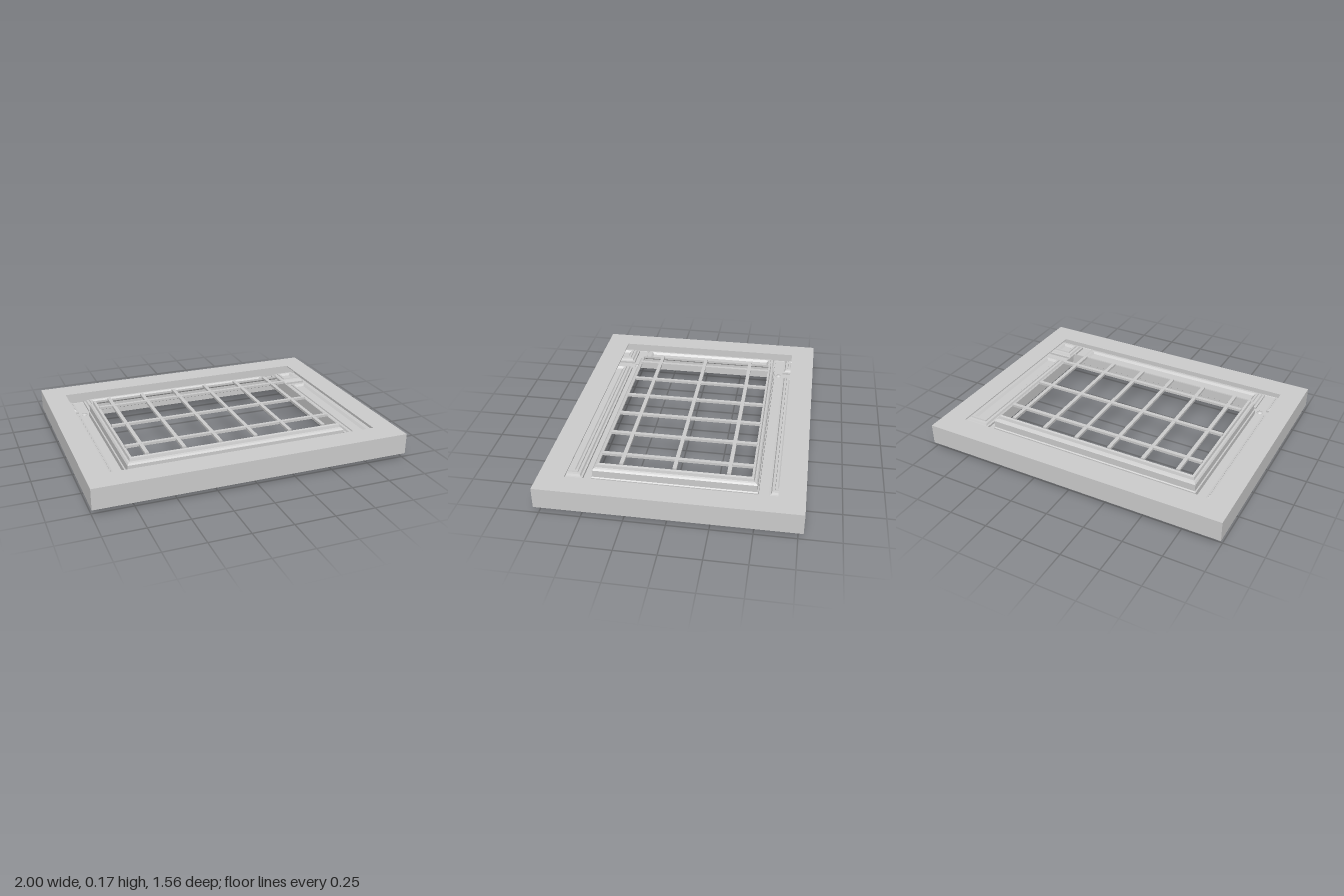
import * as THREE from 'three';

const material = new THREE.MeshStandardMaterial({ color: 0xcccccc, side: THREE.DoubleSide });

function add(parent, name, geometry, x = 0, y = 0, z = 0) {
  const mesh = new THREE.Mesh(geometry, material);
  mesh.name = name;
  mesh.position.set(x, y, z);
  parent.add(mesh);
  return mesh;
}

// Mitred rectangular moulding through rings of [half width, half depth, height]
function rectLoft(rings, capped = false) {
  const pos = [];
  const corner = ([hx, hz, y], i) => [
    [hx, y, hz], [hx, y, -hz], [-hx, y, -hz], [-hx, y, hz],
  ][i % 4];
  const quad = (a, b, c, d) => pos.push(...a, ...b, ...c, ...a, ...c, ...d);
  for (let r = 0; r < rings.length - 1; r++) {
    for (let i = 0; i < 4; i++) {
      quad(corner(rings[r], i), corner(rings[r], i + 1),
        corner(rings[r + 1], i + 1), corner(rings[r + 1], i));
    }
  }
  if (capped) {
    const last = rings[rings.length - 1];
    quad(corner(last, 3), corner(last, 2), corner(last, 1), corner(last, 0));
  }
  const geometry = new THREE.BufferGeometry();
  geometry.setAttribute('position', new THREE.Float32BufferAttribute(pos, 3));
  geometry.computeVertexNormals();
  return geometry;
}

function rectPoints(path, x, z, hx, hz) {
  path.moveTo(x - hx, z - hz);
  path.lineTo(x + hx, z - hz);
  path.lineTo(x + hx, z + hz);
  path.lineTo(x - hx, z + hz);
  path.closePath();
  return path;
}

export function createModel() {
  const model = new THREE.Group();
  model.name = 'cofferedSkylight';
  const floorY = 0.04;

  // Outer casing: bottom lip, side wall and flat top rim
  add(model, 'outerCasing', rectLoft([
    [0.97, 0.75, floorY], [0.99, 0.77, 0.035], [1, 0.78, 0.038],
    [1, 0.78, 0.17], [0.855, 0.623, 0.17], [0.855, 0.623, 0.163],
  ]));

  // Eight coffers: four corners, two short sides, two long sides
  const coffers = [];
  for (const s of [-1, 1]) {
    coffers.push(['sideCoffer', s * 0.8775, 0, 0.0925, 0.5]);
    coffers.push(['longCoffer', 0, s * 0.6575, 0.71, 0.0925]);
    for (const t of [-1, 1]) coffers.push(['cornerCoffer', s * 0.8775, t * 0.6575, 0.0925, 0.0925]);
  }

  // Ceiling plate with openings for the coffers and the light shaft
  const plate = rectPoints(new THREE.Shape(), 0, 0, 0.985, 0.765);
  plate.holes.push(rectPoints(new THREE.Path(), 0, 0, 0.725, 0.505));
  for (const [, x, z, hx, hz] of coffers) {
    plate.holes.push(rectPoints(new THREE.Path(), x, z, hx, hz));
  }
  add(model, 'ceilingPlate', new THREE.ShapeGeometry(plate).rotateX(Math.PI / 2), 0, floorY, 0);

  // Stepped coffer linings, as [inset, rise], around a raised field
  const steps = [[0, 0], [0, 0.014], [0.012, 0.016], [0.018, 0.028],
    [0.034, 0.03], [0.036, 0.038], [0.05, 0.038], [0.064, 0.024]];
  for (const [name, x, z, hx, hz] of coffers) {
    const rings = steps.map(([d, rise]) => [hx - d, hz - d, rise]);
    add(model, name, rectLoft(rings, true), x, floorY, z);
  }

  // Moulded shaft rising to the glazing
  add(model, 'lightShaft', rectLoft([
    [0.73, 0.51, floorY], [0.725, 0.505, floorY], [0.725, 0.505, 0.075],
    [0.718, 0.498, 0.08], [0.718, 0.498, 0.125], [0.71, 0.49, 0.135],
    [0.7, 0.478, 0.14], [0.696, 0.473, 0.158], [0.682, 0.46, 0.162],
    [0.682, 0.46, 0.15],
  ]));

  // Glazing grid
  const grid = new THREE.Group();
  grid.name = 'glazingGrid';
  model.add(grid);
  for (let i = 0; i < 6; i++) {
    add(grid, 'crossBar', new THREE.BoxGeometry(0.024, 0.016, 0.925), -0.587 + i * 0.234, 0.165, 0);
  }
  for (const z of [-0.325, 0, 0.322]) {
    add(grid, 'longBar', new THREE.BoxGeometry(1.37, 0.016, 0.024), 0, 0.166, z);
  }

  // Turned pendants where the beams cross
  const profile = [[0, 0], [0.007, 0.003], [0.01, 0.01], [0.014, 0.018],
    [0.018, 0.026], [0.016, 0.032], [0.02, 0.036], [0.02, 0.045], [0, 0.052]]
    .map(([r, y]) => new THREE.Vector2(r, y));
  for (const x of [-0.75, 0.75]) {
    for (const z of [-0.535, 0.535]) {
      add(model, 'pendant', new THREE.LatheGeometry(profile, 16), x, 0, z);
    }
  }
  return model;
}
